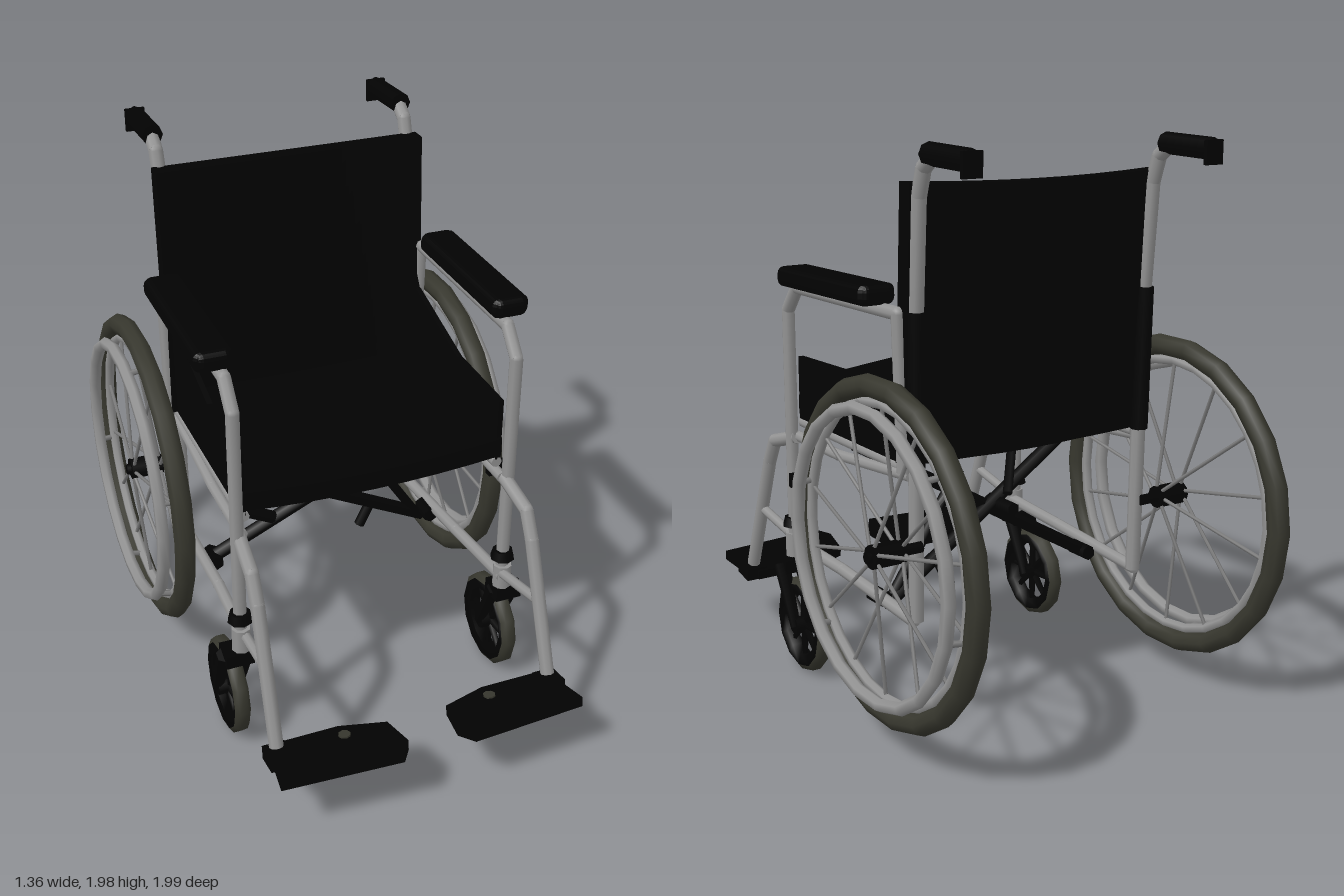
import * as THREE from 'three';
import { RoundedBoxGeometry } from 'three/addons/geometries/RoundedBoxGeometry.js';

const V = (x, y, z) => new THREE.Vector3(x, y, z);
const paint = (name, color) => {
  const m = new THREE.MeshStandardMaterial({ color });
  m.name = name;
  return m;
};

export function createModel() {
  const black = paint('black fabric and plastic', 0x020202);
  const steel = paint('grey steel', 0x939393);
  const spokeGrey = paint('spoke grey', 0x7c7c7c);
  const rubber = paint('olive grey rubber', 0x37372e);
  const chair = new THREE.Group();
  chair.name = 'wheelchair';

  const add = (parent, name, geo, mat, x = 0, y = 0, z = 0) => {
    const mesh = new THREE.Mesh(geo, mat);
    mesh.name = name;
    mesh.position.set(x, y, z);
    parent.add(mesh);
    return mesh;
  };
  const group = (parent, name, x = 0, y = 0, z = 0) => {
    const g = new THREE.Group();
    g.name = name;
    g.position.set(x, y, z);
    parent.add(g);
    return g;
  };
  // Straight round bar between two points
  const bar = (parent, name, a, b, r, mat, sides = 8, r2 = r) => {
    const d = b.clone().sub(a);
    const mid = a.clone().add(b).multiplyScalar(0.5);
    const mesh = add(parent, name, new THREE.CylinderGeometry(r2, r, d.length(), sides), mat, mid.x, mid.y, mid.z);
    mesh.quaternion.setFromUnitVectors(V(0, 1, 0), d.normalize());
    return mesh;
  };
  // Bent pipe: bars joined by round elbows
  const pipe = (parent, name, pts, r, mat = steel) => {
    const g = group(parent, name);
    pts.forEach((p, i) => {
      if (i) bar(g, 'tube', pts[i - 1], p, r, mat);
      if (i && i < pts.length - 1) add(g, 'elbow', new THREE.SphereGeometry(r, 8, 6), mat, p.x, p.y, p.z);
    });
    return g;
  };
  // Move every vertex by a rule
  const warp = (geo, rule) => {
    const p = geo.attributes.position;
    const v = V(0, 0, 0);
    for (let i = 0; i < p.count; i++) {
      v.fromBufferAttribute(p, i);
      rule(v);
      p.setXYZ(i, v.x, v.y, v.z);
    }
    geo.computeVertexNormals();
    return geo;
  };
  const ring = (R, r, tubeSides, sides) =>
    new THREE.TorusGeometry(R, r, tubeSides, sides).rotateY(Math.PI / 2);
  const lathe = (pts, sides) =>
    new THREE.LatheGeometry(pts.map(p => new THREE.Vector2(...p)), sides).rotateZ(Math.PI / 2);
  const plate = (pts, depth) => new THREE.ExtrudeGeometry(
    new THREE.Shape(pts.map(p => new THREE.Vector2(...p))), { depth, bevelEnabled: false });
  const around = (n, r, x, i, turn = 0) => {
    const a = (i / n) * Math.PI * 2 + turn;
    return V(x, Math.cos(a) * r, Math.sin(a) * r);
  };

  // Sling seat, sagging in the middle
  add(chair, 'seat', warp(new THREE.BoxGeometry(0.95, 0.07, 0.78, 8, 1, 4), v => {
    v.y -= 0.025 * (1 - (v.x / 0.475) ** 2);
  }), black, 0, 1.0, 0.02);
  // Backrest, leaning and bowed to the rear
  add(chair, 'backrest', warp(new THREE.BoxGeometry(0.99, 0.91, 0.06, 8, 6, 1), v => {
    const bow = 1 - (v.x / 0.495) ** 2;
    v.z -= 0.03 * bow + 0.05 * v.y;
    if (v.y > 0.4) v.y -= 0.012 * bow;
  }), black, 0, 1.41, -0.367);

  for (const s of [1, -1]) {
    const side = group(chair, s > 0 ? 'leftSide' : 'rightSide');
    const P = (x, y, z) => V(s * x, y, z);

    // Frame tubes
    pipe(side, 'armFrame', [P(0.5, 0.46, 0.425), P(0.5, 1.35, 0.425), P(0.5, 1.44, 0.35), P(0.5, 1.45, -0.35), P(0.49, 0.93, -0.36)], 0.024);
    pipe(side, 'backUpright', [P(0.46, 0.42, -0.38), P(0.462, 1.4, -0.395), P(0.465, 1.82, -0.425), P(0.465, 1.91, -0.455), P(0.465, 1.95, -0.51)], 0.026);
    bar(side, 'uprightSleeve', P(0.462, 0.95, -0.39), P(0.464, 1.46, -0.4), 0.032, black);
    pipe(side, 'lowerRail', [P(0.49, 0.47, 0.45), P(0.475, 0.455, 0.1), P(0.468, 0.42, -0.385)], 0.022);
    pipe(side, 'seatRail', [P(0.48, 0.88, 0.42), P(0.48, 0.88, 0.1), P(0.475, 0.92, -0.38)], 0.02);
    pipe(side, 'seatEdgeTube', [P(0.465, 0.935, 0.4), P(0.465, 0.935, -0.36)], 0.02);
    pipe(side, 'legTube', [P(0.49, 0.88, 0.4), P(0.5, 0.83, 0.57), P(0.5, 0.74, 0.62), P(0.505, 0.28, 0.79)], 0.025);
    pipe(side, 'legStay', [P(0.5, 0.53, 0.69), P(0.49, 0.48, 0.43)], 0.018);

    // Push handle with a drooping end lip
    bar(side, 'grip', P(0.465, 1.955, -0.485), P(0.465, 1.948, -0.72), 0.037, black);
    add(side, 'gripLip', new THREE.BoxGeometry(0.07, 0.08, 0.015), black, s * 0.465, 1.937, -0.72);

    // Padded armrest and cloth side guard
    add(side, 'armrest', warp(new RoundedBoxGeometry(0.135, 0.07, 0.62, 2, 0.025), v => {
      if (v.z > 0.2) v.y -= 0.01;
      if (Math.abs(v.z) > 0.29) v.x *= 0.88;
    }), black, s * 0.522, 1.5, 0.033);
    add(side, 'sideGuard', plate([[0.4, 0.94], [0.4, 1.18], [0.07, 1.19], [-0.29, 1.3], [-0.37, 1.3], [-0.37, 0.94]], 0.02)
      .rotateY(-Math.PI / 2), black, s * 0.468 + 0.01);

    // Footplate
    const foot = group(side, 'footrest', 0, 0.255, 0.87);
    foot.rotation.x = -0.16;
    add(foot, 'footplate', plate([[0.53, -0.05], [0.55, 0.09], [0.13, 0.12], [0.09, 0.06], [0.11, -0.07], [0.27, -0.12], [0.5, -0.12]]
      .map(([x, z]) => [x * s, z]), 0.037).rotateX(Math.PI / 2), black, 0, 0.02, 0);
    add(foot, 'footplateHinge', new THREE.BoxGeometry(0.08, 0.05, 0.09), black, s * 0.505, 0.005, -0.065);
    add(foot, 'rivet', new THREE.CylinderGeometry(0.022, 0.022, 0.008, 8), rubber, s * 0.27, 0.022, -0.06);

    // Large rear wheel
    const wheel = group(side, 'rearWheel', s * 0.6, 0.688, -0.414);
    add(wheel, 'tyre', ring(0.548, 0.038, 8, 22), rubber);
    add(wheel, 'rim', ring(0.497, 0.018, 6, 28), steel);
    add(wheel, 'pushRim', ring(0.484, 0.023, 6, 22), steel, s * 0.062);
    bar(wheel, 'hub', V(-s * 0.07, 0, 0), V(s * 0.05, 0, 0), 0.04, black, 10);
    bar(wheel, 'axle', V(-s * 0.14, 0, 0), V(s * 0.065, 0, 0), 0.02, black);
    for (let i = 0; i < 14; i++)
      bar(wheel, 'spoke', around(14, 0.03, s * (i % 2 ? 0.04 : -0.06), i + 0.5), around(14, 0.49, 0, i), 0.007, spokeGrey, 5);
    for (let i = 0; i < 6; i++)
      bar(wheel, 'pushRimBracket', around(6, 0.497, 0, i, 0.25), around(6, 0.484, s * 0.062, i, 0.25), 0.011, spokeGrey, 5);

    // Front castor
    add(side, 'castorCollar', new THREE.CylinderGeometry(0.036, 0.045, 0.035, 8), black, s * 0.5, 0.555, 0.425);
    add(side, 'castorHead', new THREE.CylinderGeometry(0.034, 0.034, 0.09, 8), steel, s * 0.5, 0.465, 0.43);
    add(side, 'forkCrown', new THREE.BoxGeometry(0.1, 0.05, 0.09), black, s * 0.515, 0.395, 0.42);
    for (const k of [-1, 1])
      bar(side, 'forkBlade', P(0.52 + k * 0.04, 0.4, 0.42), P(0.52 + k * 0.04, 0.18, 0.32), 0.03, black, 6, 0.018);
    const castor = group(side, 'castor', s * 0.52, 0.185, 0.325);
    add(castor, 'castorTread', lathe([[0.158, -0.029], [0.177, -0.016], [0.177, 0.016], [0.158, 0.029]], 12), rubber);
    add(castor, 'castorRim', lathe([[0.12, 0.022], [0.12, -0.022], [0.158, -0.029], [0.158, 0.029], [0.12, 0.022]], 12), black);
    bar(castor, 'castorHub', V(-0.045, 0, 0), V(0.045, 0, 0), 0.032, black);
    for (let i = 0; i < 8; i++)
      bar(castor, 'castorSpoke', V(0, 0, 0), around(8, 0.125, 0, i), 0.016, black, 5, 0.01);
  }

  // Folding cross brace with end clamps
  bar(chair, 'crossBrace', V(-0.43, 0.42, -0.12), V(0.47, 0.94, 0.0), 0.026, black, 6);
  bar(chair, 'crossBrace', V(-0.46, 0.9, -0.02), V(0.44, 0.39, -0.14), 0.026, black, 6);
  for (const x of [-0.43, 0.45]) bar(chair, 'braceClamp', V(x, 0.42, -0.16), V(x, 0.42, -0.07), 0.03, black, 6);
  // Stays that steady the cross brace
  bar(chair, 'braceStay', V(-0.18, 0.93, -0.02), V(-0.05, 0.72, -0.17), 0.018, black, 6);
  bar(chair, 'braceStay', V(0.13, 0.83, -0.13), V(0.41, 0.41, -0.13), 0.02, black, 6);
  bar(chair, 'stayFoot', V(0.21, 0.49, -0.13), V(0.17, 0.41, -0.13), 0.02, black, 6);
  bar(chair, 'bracePivot', V(-0.07, 0.66, -0.18), V(-0.07, 0.66, -0.03), 0.025, black, 6);
  // Brake pad on the left, folded catch on the right
  add(chair, 'brakePad', new THREE.BoxGeometry(0.08, 0.05, 0.03), black, 0.575, 0.78, 0.21);
  bar(chair, 'catch', V(-0.43, 0.84, 0.21), V(-0.3, 0.78, 0.22), 0.022, black, 6);
  return chair;
}
